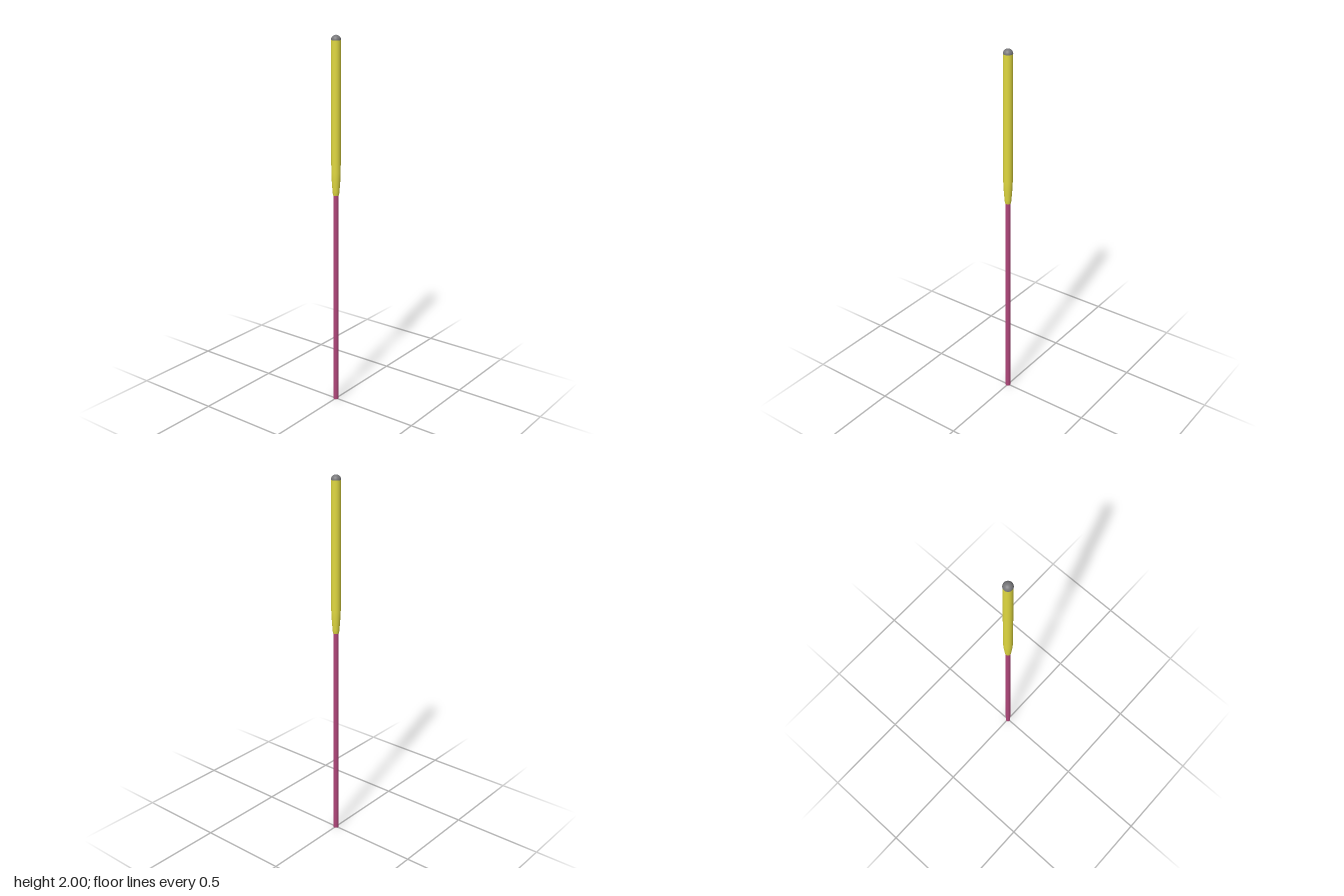
import * as THREE from 'three';

const SEGMENTS = 32;

// Turned part from a list of [radius, height] points, bottom to top
function turned(name, color, profile) {
  const points = profile.map(([r, y]) => new THREE.Vector2(r, y));
  const mesh = new THREE.Mesh(
    new THREE.LatheGeometry(points, SEGMENTS),
    new THREE.MeshStandardMaterial({ color })
  );
  mesh.name = name;
  return mesh;
}

export function createModel() {
  const group = new THREE.Group();
  group.name = 'stick';

  // Slim straight shaft, running a little way into the grip
  const shaft = new THREE.Mesh(
    new THREE.CylinderGeometry(0.014, 0.014, 1.2, SEGMENTS),
    new THREE.MeshStandardMaterial({ color: 0xb0467a })
  );
  shaft.name = 'shaft';
  shaft.position.y = 0.6;
  group.add(shaft);

  // Grip: rounded taper at the lower end, then a straight sleeve
  group.add(turned('grip', 0xe0d840, [
    [0.013, 1.178], [0.016, 1.178], [0.018, 1.2], [0.021, 1.235],
    [0.023, 1.265], [0.0245, 1.3], [0.0245, 1.976],
  ]));

  // Domed end cap closing the top of the grip
  const cap = new THREE.Mesh(
    new THREE.SphereGeometry(0.025, SEGMENTS, 12, 0, Math.PI * 2, 0, Math.PI / 2),
    new THREE.MeshStandardMaterial({ color: 0x77777a, side: THREE.DoubleSide })
  );
  cap.name = 'endCap';
  cap.position.y = 1.975;
  group.add(cap);

  return group;
}
